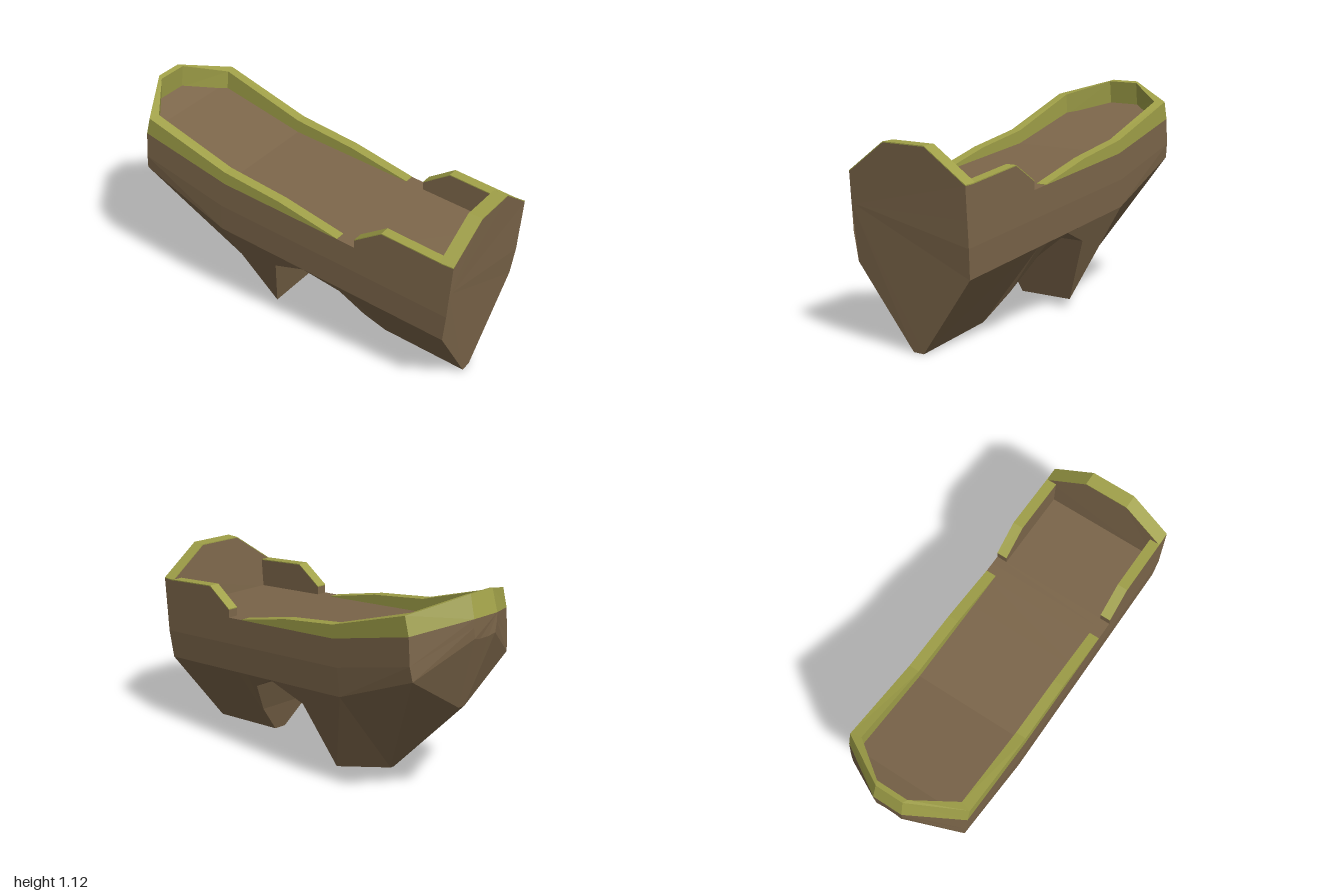
import * as THREE from 'three';

const brown = new THREE.MeshStandardMaterial({ color: 0x7c664a, flatShading: true });
const olive = new THREE.MeshStandardMaterial({ color: 0xa0a048, flatShading: true });

// Joins equal-length loops of [x, y, z] points into a closed, faceted solid.
function loft(name, sections, material) {
  const tris = [], n = sections[0].length;
  for (let i = 0; i + 1 < sections.length; i++) {
    for (let j = 0; j < n; j++) {
      const k = (j + 1) % n;
      const a = sections[i][j], b = sections[i][k], c = sections[i + 1][k], d = sections[i + 1][j];
      // diagonals mirror between the two halves of the loop
      if (j < n / 2) tris.push([a, b, c], [a, c, d]);
      else tris.push([a, b, d], [b, c, d]);
    }
  }
  const first = sections[0], last = sections[sections.length - 1];
  for (let j = 1; j + 1 < n; j++) {
    tris.push([first[0], first[j + 1], first[j]], [last[0], last[j], last[j + 1]]);
  }
  // turn the faces outwards if the solid came out inside-out
  const v = (p) => new THREE.Vector3(...p);
  const volume = tris.reduce((s, [a, b, c]) => s + v(a).dot(v(b).cross(v(c))), 0);
  if (volume < 0) tris.forEach((t) => t.reverse());
  const geometry = new THREE.BufferGeometry();
  geometry.setAttribute('position', new THREE.Float32BufferAttribute(tris.flat(2), 3));
  geometry.computeVertexNormals();
  const mesh = new THREE.Mesh(geometry, material);
  mesh.name = name;
  return mesh;
}

const flip = ([x, y, z]) => [x, y, -z];
const mirrored = (half) => [...half, ...half.map(flip).reverse()];

// Straight lines of the hull aft of the bow
const line = (x0, y0, x1, y1) => (x) => y0 + ((y1 - y0) * (x - x0)) / (x1 - x0);
const deckY = line(-0.34, 0.82, 0.97, 0.7);
const wallY = line(-0.37, 0.68, 0.96, 0.56);
const chineY = line(-0.38, 0.53, 0.94, 0.41);

function hull() {
  // each half section runs deck edge, wall, chine, keel
  const halves = [
    [[-1, 1.01, 0.08], [-1, 0.97, 0.08], [-1, 0.915, 0.07], [-0.995, 0.905, 0.03]],
    [[-0.84, 0.945, 0.34], [-0.85, 0.805, 0.34], [-0.86, 0.73, 0.33], [-0.87, 0.53, 0.02]],
    [[-0.34, 0.82, 0.34], [-0.37, 0.68, 0.34], [-0.38, 0.53, 0.33], [-0.42, 0.08, 0.012]],
  ];
  // forward keel, arch and aft keel: x, bottom height, half width
  const keel = [[-0.17, 0.05, 0.15], [-0.07, 0.4, 0.29], [0.13, 0.483, 0.329],
    [0.31, 0.39, 0.27], [0.39, 0.21, 0.16], [0.44, 0.05, 0.035]];
  for (const [x, y, w] of keel) {
    halves.push([[x, deckY(x), 0.34], [x, wallY(x), 0.34], [x, chineY(x), 0.33], [x, y, w]]);
  }
  halves.push([[0.97, 0.7, 0.34], [0.96, 0.56, 0.34], [0.94, 0.41, 0.33], [0.905, 0.003, 0.03]]);
  return loft('hull', halves.map(mirrored), brown);
}

function bowRail() {
  // section corners: outer bottom, outer top, inner top, inner bottom
  const side = [[0.34, 0.76], [0, 0.84], [-0.34, 0.89]].map(([x, top]) => [
    [x, deckY(x), 0.34], [x, top, 0.34], [x, top, 0.285], [x, deckY(x) - 0.01, 0.285]]);
  side.push(
    [[-0.84, 0.945, 0.34], [-0.815, 1.04, 0.34], [-0.8, 1.04, 0.285], [-0.81, 0.925, 0.285]],
    [[-1, 1.01, 0.08], [-0.97, 1.122, 0.075], [-0.945, 1.115, 0.085], [-0.96, 0.985, 0.085]]);
  const other = side.map((s) => s.map(flip)).reverse();
  return loft('bowRail', [...side, ...other], olive);
}

// Thin coloured strip lying on a path of [outer, inner] point pairs
function cap(name, pairs) {
  const up = ([x, y, z]) => [x, y + 0.005, z];
  return loft(name, pairs.map(([o, i]) => [o, up(o), up(i), i]), olive);
}

function bulwark(s) {
  const group = new THREE.Group();
  group.name = s > 0 ? 'leftBulwark' : 'rightBulwark';
  const tops = [[0.44, 0.79], [0.59, 0.885], [0.93, 0.85]];
  group.add(loft('bulwarkWall', tops.map(([x, y]) => [
    [x, deckY(x) - 0.01, 0.34 * s], [x, y, 0.34 * s],
    [x, y, 0.285 * s], [x, deckY(x) - 0.01, 0.285 * s]]), brown));
  group.add(cap('bulwarkCap', tops.map(([x, y]) => [[x, y, 0.34 * s], [x, y, 0.285 * s]])));
  return group;
}

function transom() {
  const group = new THREE.Group();
  group.name = 'transom';
  const outer = mirrored([[0.97, 0.69, 0.34], [0.982, 0.85, 0.34], [0.997, 1.007, 0.12]]);
  const inner = outer.map(([x, y, z]) => [x - 0.075, y, z]);
  group.add(loft('transomWall', [inner, outer], brown));
  group.add(cap('transomCap', [1, 2, 3, 4].map((i) => [outer[i], inner[i]])));
  return group;
}

export function createModel() {
  const model = new THREE.Group();
  model.name = 'boat';
  model.add(hull(), bowRail(), bulwark(1), bulwark(-1), transom());
  return model;
}
